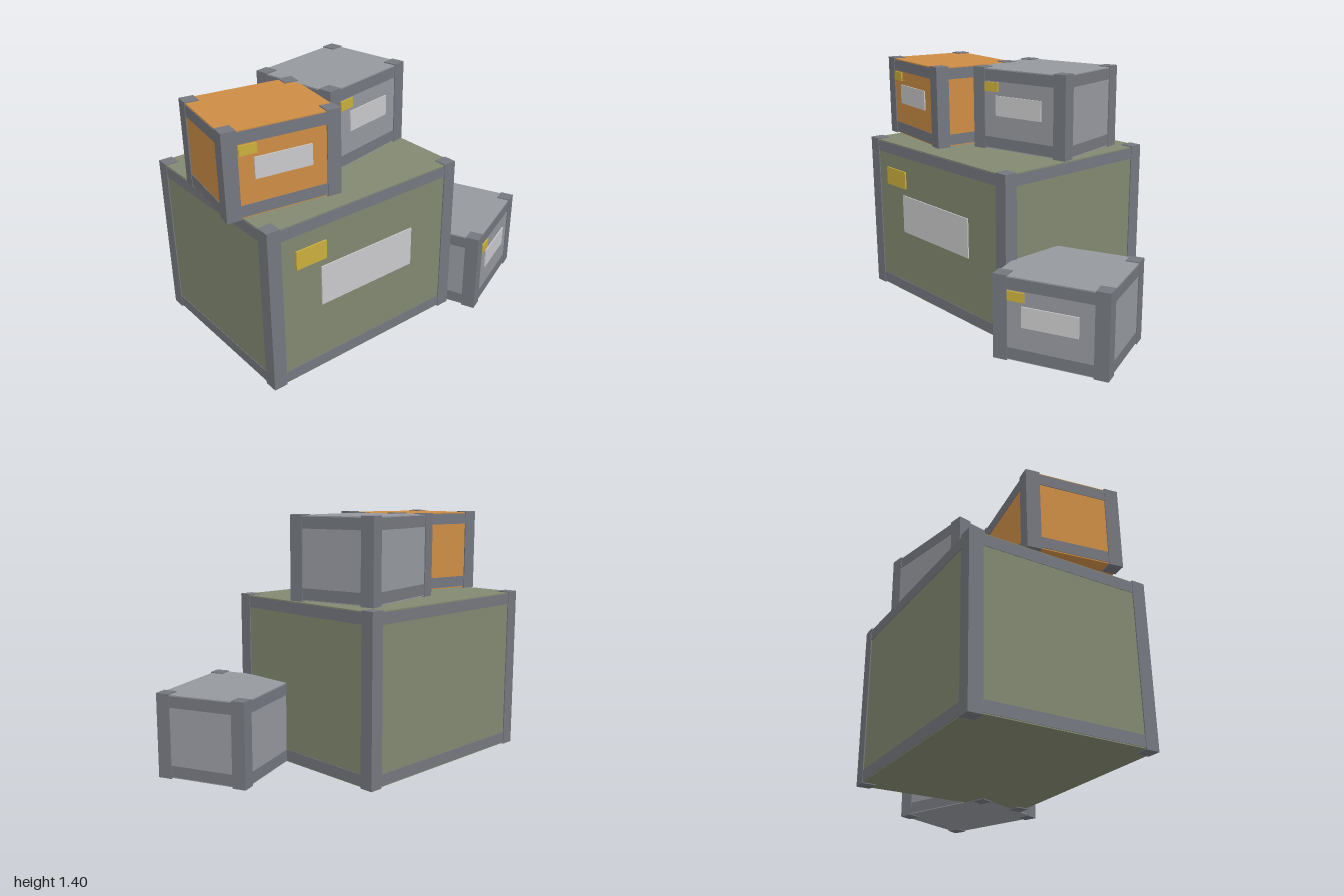
import * as THREE from 'three';

const mat = (name, color) => {
  const m = new THREE.MeshStandardMaterial({ color });
  m.name = name;
  return m;
};

export function createModel() {
  const frame = mat('frame grey', 0x74777e);
  const olive = mat('olive', 0x828870);
  const orange = mat('orange', 0xcd8d45);
  const grey = mat('panel grey', 0x95989e);
  const white = mat('label white', 0xc9c9cb);
  const yellow = mat('tag yellow', 0xc9ae3a);

  const POST = 0.078;      // corner post thickness
  const RAIL_END = 0.011;  // gap from crate top or bottom to the rail
  const RAIL_H = 0.063;    // rail height

  function box(parent, name, material, size, pos) {
    const mesh = new THREE.Mesh(new THREE.BoxGeometry(...size), material);
    mesh.name = name;
    mesh.position.set(...pos);
    parent.add(mesh);
  }

  // One crate standing on its local y = 0, labels on its +z side
  function crate(name, material, w, h, d, pos, turn) {
    const g = new THREE.Group();
    g.name = name;
    box(g, 'body', material, [w - 0.012, h - 0.01, d - 0.012], [0, h / 2, 0]);

    // Corner posts
    for (const sx of [-1, 1]) for (const sz of [-1, 1]) {
      box(g, 'cornerPost', frame, [POST, h, POST],
        [sx * (w - POST) / 2, h / 2, sz * (d - POST) / 2]);
    }

    // Rails along the top and bottom of each side
    const t = 0.05;
    for (const y of [RAIL_END + RAIL_H / 2, h - RAIL_END - RAIL_H / 2]) {
      for (const s of [-1, 1]) {
        box(g, 'longRail', frame, [w - POST, RAIL_H, t], [0, y, s * (d / 2 - 0.003 - t / 2)]);
        box(g, 'sideRail', frame, [t, RAIL_H, d - POST], [s * (w / 2 - 0.003 - t / 2), y, 0]);
      }
    }

    // Thin plates on the front
    box(g, 'label', white, [w * 0.493, h * 0.245, 0.009], [0, h * 0.548, d / 2 - 0.0035]);
    box(g, 'tag', yellow, [w * 0.15, h * 0.112, 0.0095], [-w * 0.295, h * 0.773, d / 2 - 0.0015]);

    g.position.set(...pos);
    g.rotation.y = turn;
    return g;
  }

  const model = new THREE.Group();
  model.name = 'crateStack';
  const H = 0.937;
  model.add(
    crate('largeCrate', olive, 1.256, H, 1.054, [-0.284, 0, -0.077], 0),
    crate('orangeCrate', orange, 0.633, 0.469, 0.532, [-0.645, H - 0.003, 0.029], -0.15),
    crate('upperGreyCrate', grey, 0.633, 0.469, 0.532, [-0.025, H - 0.003, -0.18], 0.2),
    crate('floorGreyCrate', grey, 0.633, 0.469, 0.532, [0.604, 0, 0.235], 0.4)
  );
  return model;
}
